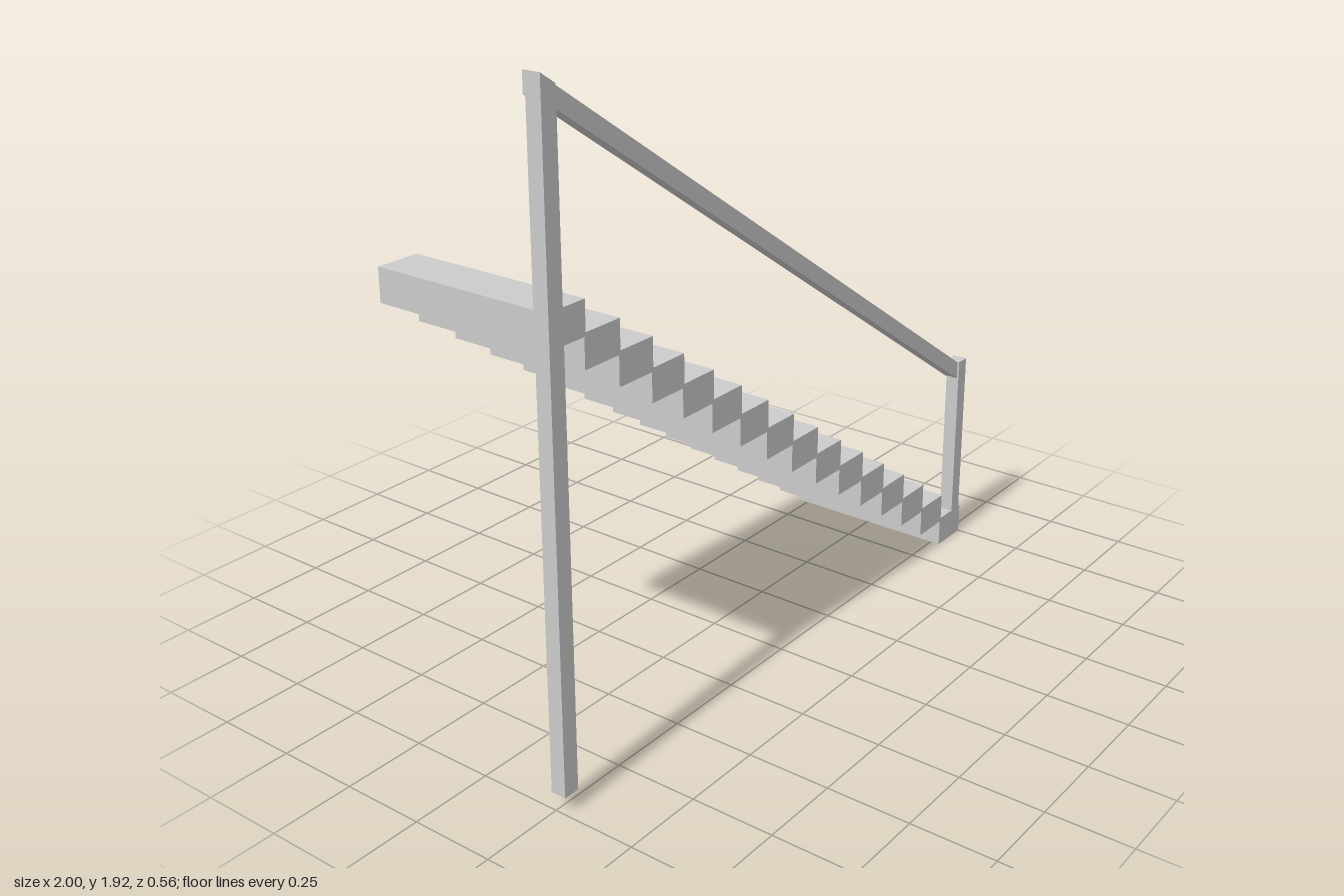
import * as THREE from 'three';

export function createModel() {
  const group = new THREE.Group();
  group.name = 'staircase';
  const material = new THREE.MeshStandardMaterial({ color: 0xcccccc, flatShading: true });

  function add(name, geometry) {
    const mesh = new THREE.Mesh(geometry, material);
    mesh.name = name;
    group.add(mesh);
  }

  function box(name, x0, x1, y0, y1, z0, z1) {
    const g = new THREE.BoxGeometry(x1 - x0, y1 - y0, z1 - z0);
    add(name, g.translate((x0 + x1) / 2, (y0 + y1) / 2, (z0 + z1) / 2));
  }

  // Side outline extruded from z0 to z1
  function slab(name, points, z0, z1) {
    const shape = new THREE.Shape(points.map(([x, y]) => new THREE.Vector2(x, y)));
    const g = new THREE.ExtrudeGeometry(shape, { depth: z1 - z0, bevelEnabled: false });
    add(name, g.translate(0, 0, z0));
  }

  // Sixteen solid steps climbing towards -x
  const count = 16, width = 0.13, height = 0.095;
  const run = (2 - width) / (count - 1), rise = (1.36 - height) / (count - 1);
  for (let i = 0; i < count; i++) {
    const x = 1 - i * run, y = i * rise;
    box(`step${i + 1}`, x - width, x, y, y + height, -0.281, 0.28);
  }

  // Tall post at the head, its top cut to the slope of the rail
  slab('upperPost', [[-1, 0.05], [-0.95, 0.05], [-0.95, 1.885], [-1, 1.918]], 0.237, 0.283);

  // Short post standing on the bottom step
  box('lowerPost', 0.945, 0.99, 0.09, 0.63, 0.237, 0.281);

  // Sloping handrail
  slab('handrail', [[-1, 1.862], [1, 0.537], [1, 0.592], [-1, 1.917]], 0.23, 0.275);

  return group;
}
